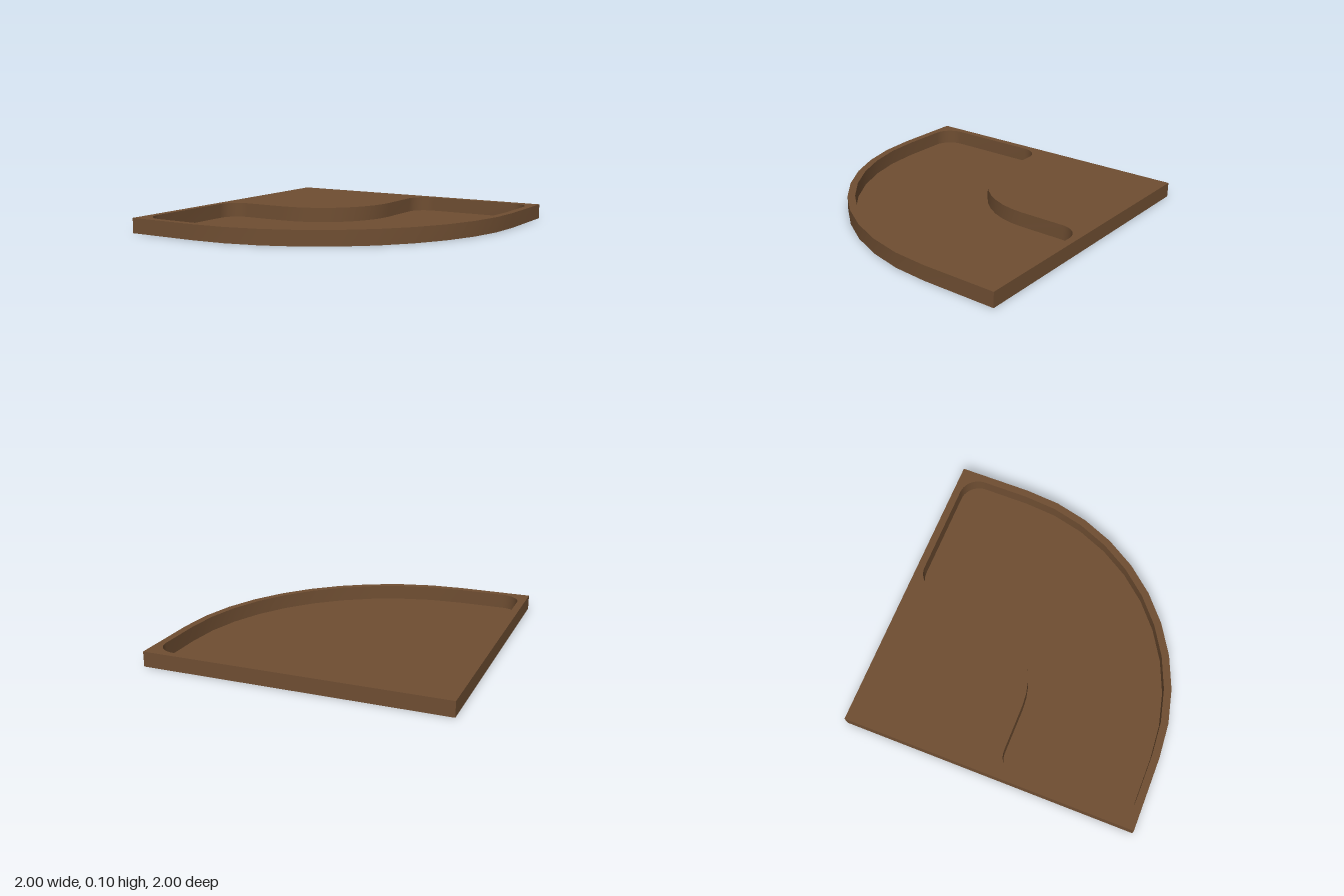
import * as THREE from 'three';
import { toCreasedNormals } from 'three/addons/utils/BufferGeometryUtils.js';

const HEIGHT = 0.1, RIM = 0.05, CORNER = 0.135;
const PI = Math.PI;

// Points of a closed path (shape y = -z), without near-duplicates; each arc has 10 segments
function outlinePoints(path) {
  const pts = path.getPoints(5);
  return pts.filter((p, i) => p.distanceTo(pts[(i + 1) % pts.length]) > 1e-4);
}

// Vertical wall along a closed outline; faces outward for counter-clockwise points
function wallGeometry(points) {
  const pos = [];
  points.forEach((a, i) => {
    const b = points[(i + 1) % points.length];
    const a0 = [a.x, 0, -a.y], a1 = [a.x, HEIGHT, -a.y];
    const b0 = [b.x, 0, -b.y], b1 = [b.x, HEIGHT, -b.y];
    pos.push(...a0, ...b0, ...b1, ...a0, ...b1, ...a1);
  });
  const geo = new THREE.BufferGeometry();
  geo.setAttribute('position', new THREE.Float32BufferAttribute(pos, 3));
  return toCreasedNormals(geo, PI / 6);
}

// Horizontal sheet at height y
function sheetGeometry(points, y, hole) {
  const shape = new THREE.Shape(points);
  if (hole) shape.holes.push(new THREE.Path(hole));
  return new THREE.ShapeGeometry(shape).rotateX(-PI / 2).translate(0, y, 0);
}

export function createModel() {
  const group = new THREE.Group();
  const material = new THREE.MeshStandardMaterial({ color: 0x6f4e32, side: THREE.DoubleSide });
  const add = (name, geometry) => {
    const mesh = new THREE.Mesh(geometry, material);
    mesh.name = name;
    group.add(mesh);
  };

  // Outer outline: a square with one large rounded corner
  const outer = new THREE.Path();
  outer.moveTo(-1, 1);
  outer.lineTo(-1, -1);
  outer.absarc(-0.5, 0.5, 1.5, -PI / 2, 0);
  outer.lineTo(1, 1);
  const outerPoints = outlinePoints(outer);

  // Recess outline: a curved lane with rounded ends
  const e = 1 - RIM, c = e - CORNER;
  const recess = new THREE.Path();
  recess.absarc(-c, -c, CORNER, PI, 1.5 * PI);
  recess.absarc(-0.5, 0.5, 1.5 - RIM, -PI / 2, 0);
  recess.absarc(c, c, CORNER, 0, PI / 2);
  recess.absarc(RIM + CORNER, c, CORNER, PI / 2, PI);
  recess.absarc(-0.5, 0.5, 0.5 + RIM, 0, -PI / 2, true);
  recess.absarc(-c, -RIM - CORNER, CORNER, PI / 2, PI);
  const recessPoints = outlinePoints(recess);

  // Hollow shell, open underneath around the sunken floor
  add('deck', sheetGeometry(outerPoints, HEIGHT, recessPoints));
  add('outerWall', wallGeometry(outerPoints));
  add('recessWall', wallGeometry([...recessPoints].reverse()));
  add('recessFloor', sheetGeometry(recessPoints, 0));
  return group;
}
